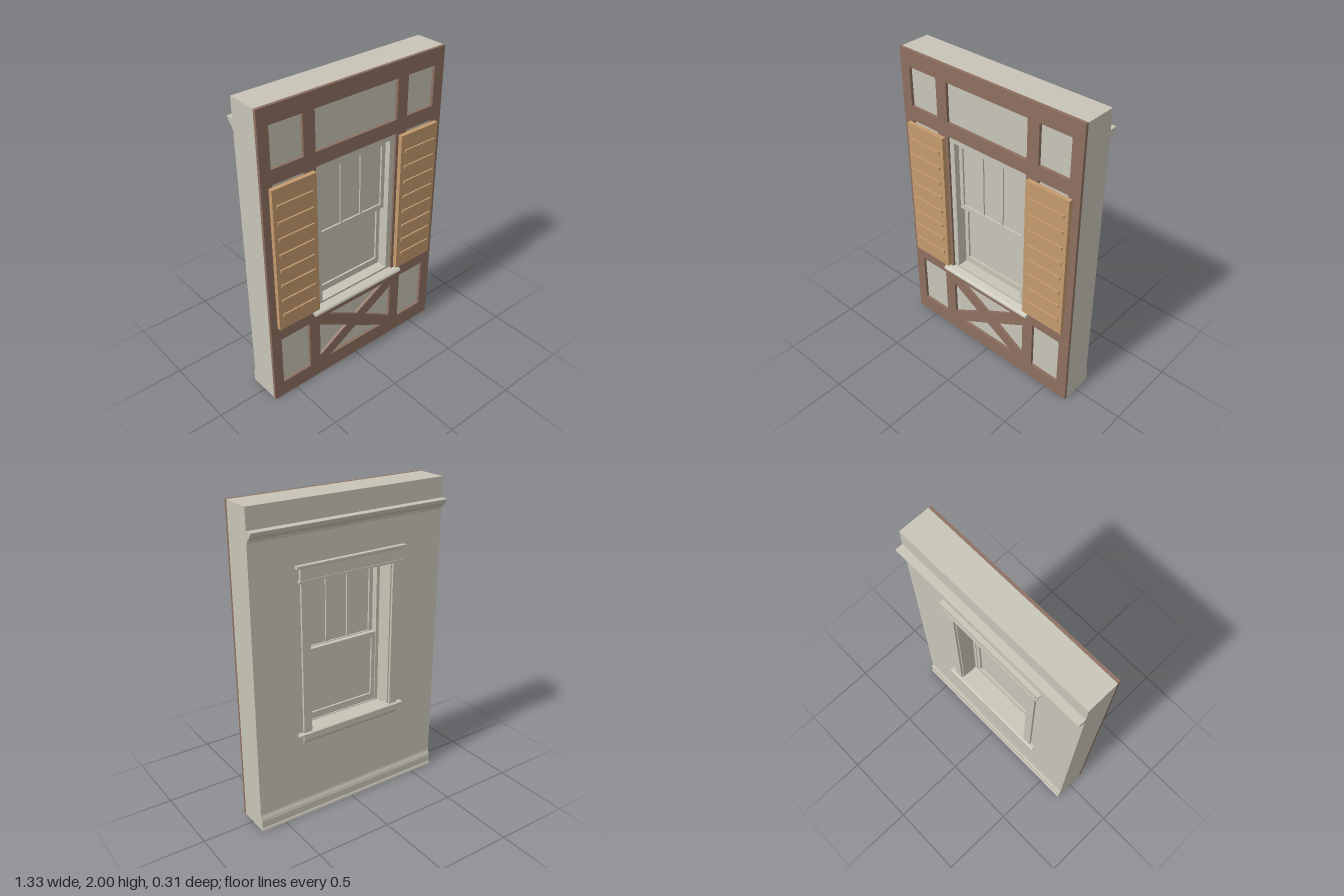
import * as THREE from 'three';

const mat = (name, color, side = THREE.FrontSide) => {
  const m = new THREE.MeshStandardMaterial({ color, side });
  m.name = name;
  return m;
};

export function createModel() {
  const root = new THREE.Group();
  root.name = 'timberWallWithWindow';
  const cream = mat('cream plaster', 0xc8c4b7);
  const timber = mat('brown timber', 0x8d7060);
  const tan = mat('tan shutter', 0xc49a6e);

  const add = (name, geo, material, parent = root) => {
    const m = new THREE.Mesh(geo, material);
    m.name = name;
    parent.add(m);
    return m;
  };
  // Box given by its limits on each axis
  const box = (name, x0, x1, y0, y1, z0, z1, material, parent) =>
    add(name, new THREE.BoxGeometry(x1 - x0, y1 - y0, z1 - z0)
      .translate((x0 + x1) / 2, (y0 + y1) / 2, (z0 + z1) / 2), material, parent);
  const rect = (x0, x1, y0, y1) => [[x0, y0], [x1, y0], [x1, y1], [x0, y1]];
  const toPts = (pts) => pts.map(([x, y]) => new THREE.Vector2(x, y));
  // Flat slab with cut-outs, between z0 and z1
  const slab = (name, outline, holes, z0, z1, material, parent) => {
    const s = new THREE.Shape(toPts(outline));
    holes.forEach((h) => s.holes.push(new THREE.Path(toPts(h))));
    const g = new THREE.ExtrudeGeometry(s, { depth: z1 - z0, bevelEnabled: false });
    return add(name, g.translate(0, 0, z0), material, parent);
  };
  // Moulding: a (z, y) profile run along x
  const moulding = (name, profile, halfWidth, material, parent) => {
    const g = new THREE.ExtrudeGeometry(new THREE.Shape(toPts(profile)),
      { depth: halfWidth * 2, bevelEnabled: false });
    return add(name, g.rotateY(-Math.PI / 2).translate(halfWidth, 0, 0), material, parent);
  };

  const W = 0.665, BACK = -0.104, FACE = 0.095, TIMBER = 0.114;
  const opening = rect(-0.3, 0.3, 0.555, 1.55);

  // Wall core and timber framing with its plaster panels left open
  slab('wall', rect(-W, W, 0, 2), [opening], BACK, FACE, cream);
  const panels = [opening, rect(-0.3, 0.3, 1.64, 1.895)];
  for (const [x0, x1] of [[-0.595, -0.38], [0.38, 0.59]]) {
    panels.push(rect(x0, x1, 1.64, 1.895), rect(x0, x1, 0.56, 1.548), rect(x0, x1, 0.11, 0.465));
  }
  // Triangles around the crossed brace
  panels.push(
    [[-0.225, 0.465], [0.225, 0.465], [0, 0.337]],
    [[-0.225, 0.11], [0.225, 0.11], [0, 0.238]],
    [[-0.3, 0.155], [-0.3, 0.415], [-0.08, 0.287]],
    [[0.3, 0.155], [0.3, 0.415], [0.08, 0.287]],
  );
  slab('timberFrame', rect(-W, W, 0, 2), panels, FACE, TIMBER, timber);

  // Window frame and inner lining
  const win = new THREE.Group();
  win.name = 'window';
  root.add(win);
  slab('windowFrame', rect(-0.3, 0.3, 0.555, 1.55), [rect(-0.265, 0.265, 0.58, 1.51)], 0, 0.1, cream, win);
  slab('innerLining', rect(-0.3, 0.3, 0.555, 1.55), [rect(-0.287, 0.287, 0.575, 1.535)], BACK, 0, cream, win);

  // Two sliding sashes with panes
  const sash = (name, y0, y1, bottom, top, z0, z1) => {
    const g = new THREE.Group();
    g.name = name;
    win.add(g);
    slab(name + 'Rails', rect(-0.262, 0.262, y0, y1),
      [rect(-0.235, 0.235, y0 + bottom, y1 - top)], z0, z1, cream, g);
    const zc = (z0 + z1) / 2;
    box(name + 'Pane', -0.236, 0.236, y0 + bottom, y1 - top, zc - 0.003, zc + 0.003, cream, g);
    return g;
  };
  const upper = sash('upperSash', 1.03, 1.508, 0.033, 0.035, 0.035, 0.065);
  for (const x of [-0.077, 0.077]) {
    box('glazingBar', x - 0.008, x + 0.008, 1.06, 1.475, 0.038, 0.062, cream, upper);
  }
  sash('lowerSash', 0.585, 1.06, 0.045, 0.033, 0.002, 0.033);

  // Sloping outer sill with a rounded nose
  moulding('outerSill', [[0.08, 0.535], [0.135, 0.527], [0.148, 0.53], [0.154, 0.54],
    [0.15, 0.55], [0.14, 0.555], [0.08, 0.572]], 0.352, cream, win);

  // Interior casing around the opening
  const casing = new THREE.Group();
  casing.name = 'interiorCasing';
  root.add(casing);
  for (const s of [-1, 1]) {
    box('sideCasing', Math.min(s * 0.295, s * 0.35), Math.max(s * 0.295, s * 0.35),
      0.585, 1.54, -0.119, BACK, cream, casing);
  }
  box('headCasing', -0.355, 0.355, 1.54, 1.62, -0.122, BACK, cream, casing);
  box('headFillet', -0.365, 0.365, 1.535, 1.548, -0.126, BACK, cream, casing);
  moulding('headCap', [[BACK, 1.618], [-0.124, 1.618], [-0.131, 1.624], [-0.131, 1.636], [BACK, 1.636]],
    0.38, cream, casing);
  moulding('stool', [[-0.06, 0.568], [-0.128, 0.568], [-0.134, 0.573], [-0.134, 0.58],
    [-0.128, 0.585], [-0.06, 0.585]], 0.388, cream, casing);
  moulding('apron', [[BACK, 0.505], [-0.11, 0.51], [-0.118, 0.53], [-0.118, 0.568], [BACK, 0.568]],
    0.35, cream, casing);

  // Crown rail and skirting along the inner face
  moulding('crownRail', [[BACK, 1.805], [-0.11, 1.808], [-0.112, 1.822], [-0.125, 1.832],
    [-0.142, 1.848], [-0.147, 1.862], [-0.154, 1.868], [-0.154, 1.873], [BACK, 1.873]], W, cream);
  moulding('skirting', [[BACK, 0], [-0.124, 0], [-0.122, 0.012], [-0.117, 0.02], [-0.117, 0.065],
    [-0.112, 0.085], [-0.107, 0.095], [BACK, 0.108]], W, cream);

  // Pair of slatted shutters
  for (const s of [-1, 1]) {
    const g = new THREE.Group();
    g.name = s > 0 ? 'leftShutter' : 'rightShutter';
    root.add(g);
    const span = (a, b) => (s > 0 ? [a, b] : [-b, -a]);
    box('shutterBoard', ...span(0.319, 0.618), 0.57, 1.535, TIMBER, 0.142, tan, g);
    for (let i = 0; i < 8; i++) {
      const y = 0.675 + i * 0.1075;
      box('slat', ...span(0.348, 0.594), y - 0.009, y + 0.009, 0.141, 0.152, tan, g);
    }
  }
  return root;
}
